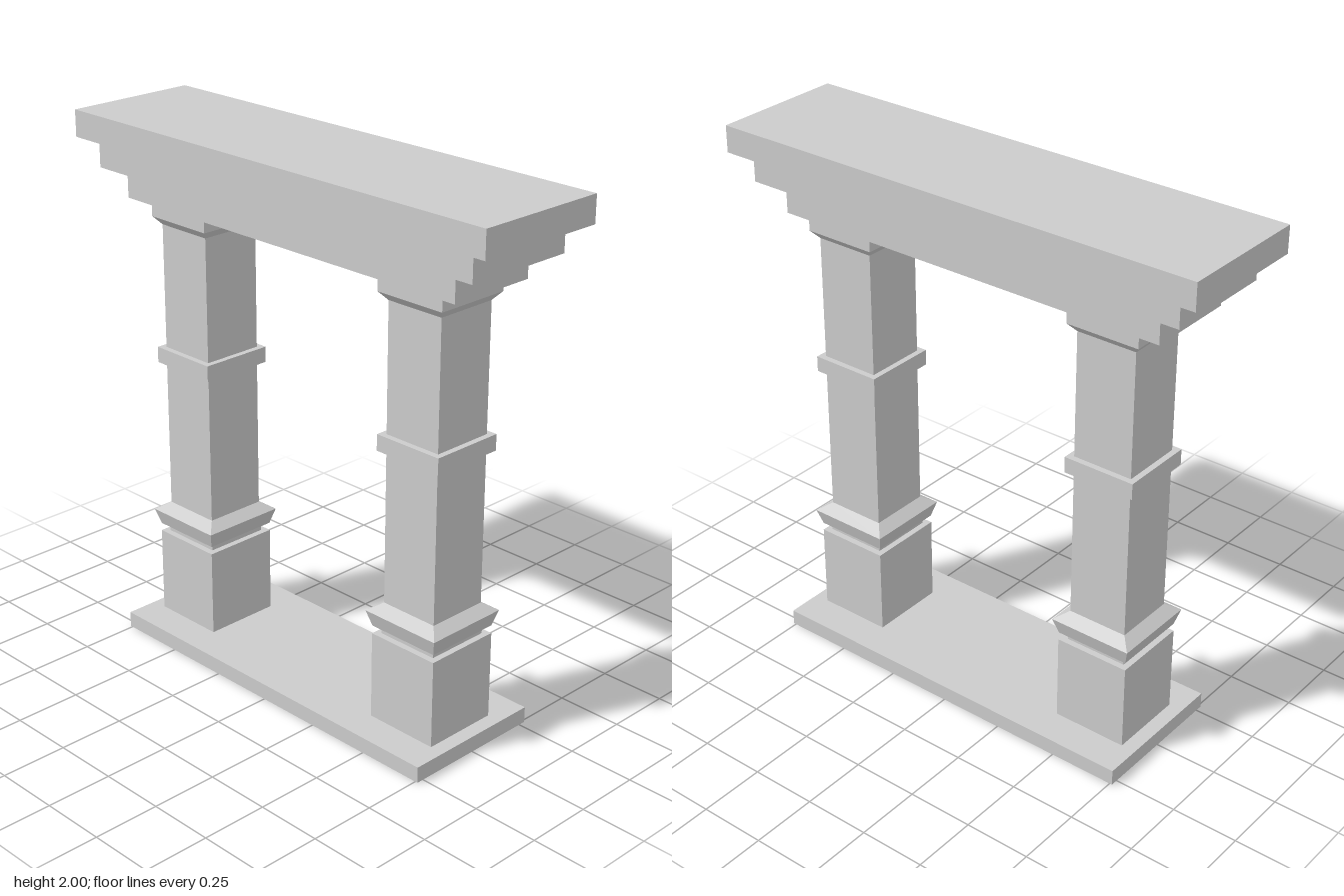
import * as THREE from 'three';

const material = new THREE.MeshStandardMaterial({ color: 0xcccccc, flatShading: true });

// Box slab resting at height y0
function slab(name, width, depth, y0, y1, x = 0, z = 0) {
  const mesh = new THREE.Mesh(new THREE.BoxGeometry(width, y1 - y0, depth), material);
  mesh.name = name;
  mesh.position.set(x, (y0 + y1) / 2, z);
  return mesh;
}

// Square moulding: [half width, height] pairs from bottom to top
function squareMoulding(name, profile) {
  const points = profile.map(([half, y]) => new THREE.Vector2(half * Math.SQRT2, y));
  const mesh = new THREE.Mesh(new THREE.LatheGeometry(points, 4, Math.PI / 4), material);
  mesh.name = name;
  return mesh;
}

function createColumn(name) {
  const column = new THREE.Group();
  column.name = name;
  column.add(
    // Plinth and recessed neck
    squareMoulding('plinth', [[0, 0.06], [0.148, 0.06], [0.148, 0.39], [0.124, 0.39], [0.124, 0.42]]),
    // Flared base moulding
    squareMoulding('baseMoulding', [[0.124, 0.42], [0.147, 0.42], [0.165, 0.48], [0.119, 0.51]]),
    squareMoulding('shaft', [[0.119, 0.51], [0.119, 1.61]]),
    // Band around the shaft
    squareMoulding('band', [[0.119, 1.08], [0.142, 1.08], [0.142, 1.14], [0.119, 1.14]]),
    // Capital flaring up to the lintel
    squareMoulding('capital', [[0.119, 1.61], [0.145, 1.64], [0.145, 1.7], [0, 1.7]])
  );
  column.scale.x = 0.97;
  return column;
}

export function createModel() {
  const model = new THREE.Group();
  model.name = 'gateway';

  model.add(slab('baseSlab', 1.52, 0.555, 0, 0.06));

  // Pair of columns
  for (const side of [1, -1]) {
    const column = createColumn(side > 0 ? 'leftColumn' : 'rightColumn');
    column.position.set(side * 0.561, 0, 0.004);
    model.add(column);
  }

  // Stepped lintel
  model.add(
    slab('lowerLintel', 1.575, 0.345, 1.695, 1.797, -0.007, 0.007),
    slab('middleLintel', 1.78, 0.432, 1.797, 1.9, 0, 0.01),
    slab('topSlab', 1.943, 0.515, 1.9, 2, -0.002, 0.006)
  );
  return model;
}
